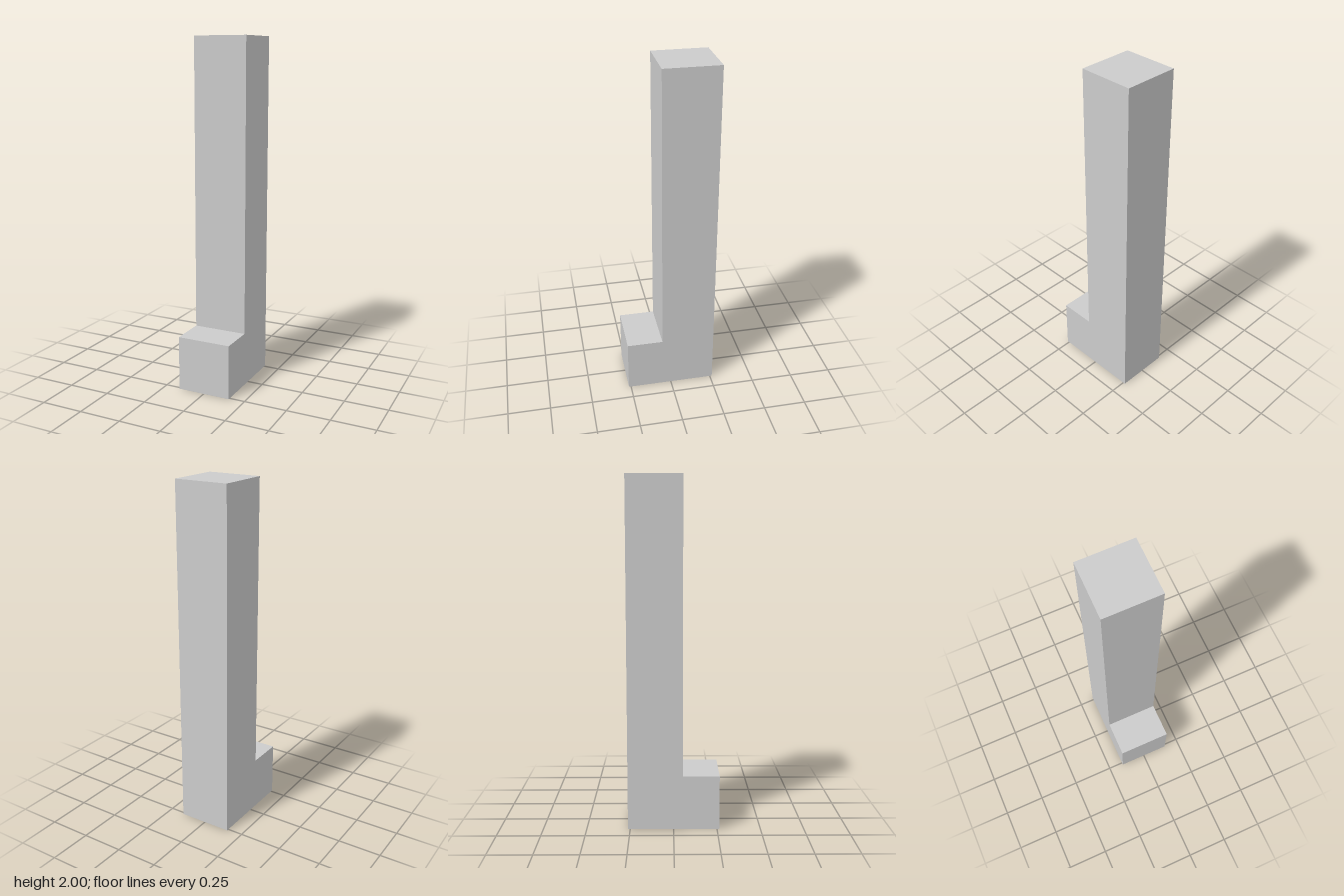
import * as THREE from 'three';

const WIDTH = 0.316;       // x size of the whole leg
const HALF_DEPTH = 0.263;  // heel at -z, toe at +z
const SHIN_FRONT = 0.052;  // z of the shin's front face
const FOOT_HEIGHT = 0.316;
const HEIGHT = 2;

export function createModel() {
  const group = new THREE.Group();
  group.name = 'leg';

  // L-shaped side profile, drawn as (z, y)
  const profile = new THREE.Shape([
    [-HALF_DEPTH, 0],
    [HALF_DEPTH, 0],
    [HALF_DEPTH, FOOT_HEIGHT],
    [SHIN_FRONT, FOOT_HEIGHT],
    [SHIN_FRONT, HEIGHT],
    [-HALF_DEPTH, HEIGHT],
  ].map(([z, y]) => new THREE.Vector2(z, y)));

  // Extrude across the width, then turn the toe to face +z
  const geometry = new THREE.ExtrudeGeometry(profile, { depth: WIDTH, bevelEnabled: false });
  geometry.translate(0, 0, -WIDTH / 2);
  geometry.rotateY(-Math.PI / 2);

  const material = new THREE.MeshStandardMaterial({ color: 0xcccccc, flatShading: true });
  const leg = new THREE.Mesh(geometry, material);
  leg.name = 'legWithFoot';
  group.add(leg);
  return group;
}
